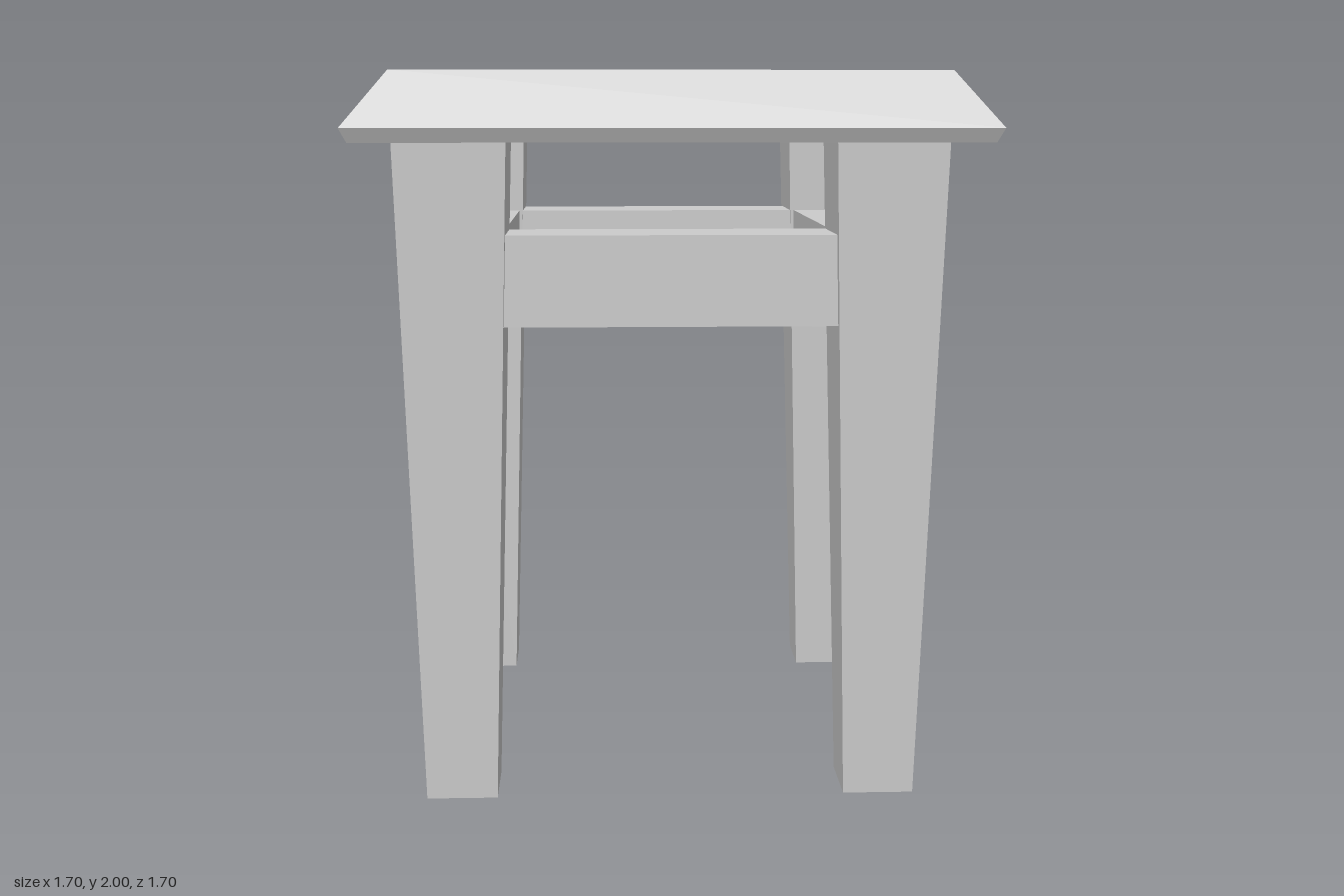
import * as THREE from 'three';

const material = new THREE.MeshStandardMaterial({ color: 0xcccccc, flatShading: true });

function addPart(group, name, geometry, x = 0, y = 0, z = 0) {
  const mesh = new THREE.Mesh(geometry, material);
  mesh.name = name;
  mesh.position.set(x, y, z);
  group.add(mesh);
  return mesh;
}

// Square solid turned from [half width, height] pairs, listed bottom to top
function squareSolid(profile) {
  const points = profile.map(([half, y]) => new THREE.Vector2(half * Math.SQRT2, y));
  return new THREE.LatheGeometry(points, 4, Math.PI / 4);
}

export function createModel() {
  const stool = new THREE.Group();
  stool.name = 'stool';

  // Seat: small undercut, wide bevel, flat top
  addPart(stool, 'seat', squareSolid([[0, 1.815], [0.832, 1.815], [0.85, 1.852], [0.735, 2], [0, 2]]));

  // Four legs tapering towards the floor
  const leg = squareSolid([[0, 0], [0.098, 0], [0.149, 1.82], [0, 1.82]]);
  for (const [side, x] of [['Left', 0.583], ['Right', -0.583]]) {
    addPart(stool, 'front' + side + 'Leg', leg, x, 0, 0.588);
    addPart(stool, 'back' + side + 'Leg', leg, x, 0, -0.588);
  }

  // Rails joining the legs, set slightly behind the outer faces
  const rail = new THREE.BoxGeometry(1, 0.245, 0.245);
  const offset = 0.575, height = 1.447;
  addPart(stool, 'frontRail', rail, 0, height, offset);
  addPart(stool, 'backRail', rail, 0, height, -offset);
  addPart(stool, 'leftRail', rail, offset, height, 0).rotation.y = Math.PI / 2;
  addPart(stool, 'rightRail', rail, -offset, height, 0).rotation.y = Math.PI / 2;

  return stool;
}
